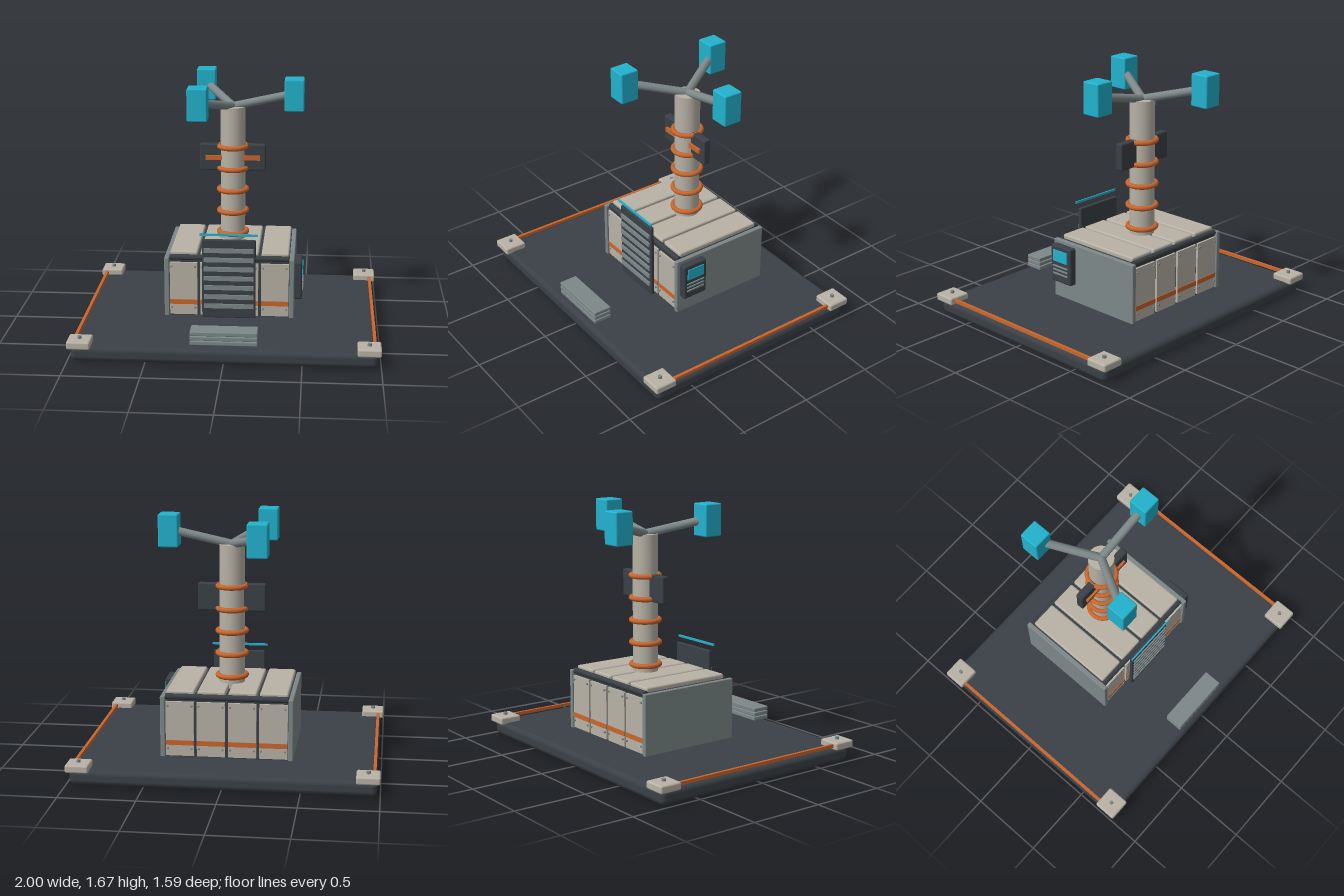
import * as THREE from 'three';
import { RoundedBoxGeometry } from 'three/addons/geometries/RoundedBoxGeometry.js';

const mat = (name, color) => {
  const m = new THREE.MeshStandardMaterial({ color });
  m.name = name;
  return m;
};

export function createModel() {
  const model = new THREE.Group();
  model.name = 'relayStation';
  const dark = mat('charcoal', 0x3a4046);
  const beige = mat('warm grey', 0xb8b2a6);
  const steel = mat('steel grey', 0x7d8888);
  const orange = mat('copper orange', 0xc9652c);
  const cyan = mat('cyan', 0x22b2ce);

  const add = (name, geometry, material, x = 0, y = 0, z = 0) => {
    const mesh = new THREE.Mesh(geometry, material);
    mesh.name = name;
    mesh.position.set(x, y, z);
    model.add(mesh);
    return mesh;
  };
  // Box given by its limits on each axis, with an optional rounded edge
  const box = (name, material, x0, x1, y0, y1, z0, z1, r = 0) => {
    const size = [x1 - x0, y1 - y0, z1 - z0];
    const geometry = r ? new RoundedBoxGeometry(...size, 2, r) : new THREE.BoxGeometry(...size);
    return add(name, geometry, material, (x0 + x1) / 2, (y0 + y1) / 2, (z0 + z1) / 2);
  };
  // Cylinder between two points
  const rod = (name, material, a, b, r, sides = 12) => {
    const from = new THREE.Vector3(...a), to = new THREE.Vector3(...b);
    const dir = to.clone().sub(from);
    const mesh = add(name, new THREE.CylinderGeometry(r, r, dir.length(), sides), material);
    mesh.position.copy(from).add(to).multiplyScalar(0.5);
    mesh.quaternion.setFromUnitVectors(new THREE.Vector3(0, 1, 0), dir.normalize());
    return mesh;
  };

  // Base slab, corner blocks with bolts, side rails
  box('baseSlab', dark, -0.98, 0.98, 0, 0.1, -0.772, 0.772, 0.035);
  for (const sx of [-1, 1]) {
    for (const sz of [-1, 1]) {
      const x = sx * 0.924, z = sz * 0.718;
      box('cornerBlock', beige, x - 0.076, x + 0.076, 0.088, 0.14, z - 0.077, z + 0.077, 0.012);
      rod('cornerBolt', steel, [x, 0.135, z], [x, 0.157, z], 0.013, 8);
    }
    const x = sx * 0.962;
    box('sideRail', orange, x - 0.01, x + 0.01, 0.106, 0.128, -0.66, 0.66);
  }

  // Step: three stacked slats
  for (let i = 0; i < 3; i++) {
    const y = 0.12 + i * 0.031;
    box('stepSlat', steel, -0.215, 0.215, y, y + 0.027, 0.612, 0.738, 0.005);
  }

  // Housing core and side walls
  box('housingCore', dark, -0.4, 0.4, 0.12, 0.53, -0.47, 0.2);
  for (const s of [-1, 1]) {
    const x = s * 0.417;
    box('sideWall', steel, x - 0.016, x + 0.016, 0.12, 0.53, -0.493, 0.227, 0.006);
  }

  // Roof panels, and matching front and back panels with stripes and bolts
  for (const x of [-0.305, -0.102, 0.102, 0.305]) {
    const h = 0.092;
    box('roofPanel', beige, x - h, x + h, 0.525, 0.562, -0.455, 0.178, 0.012);
    for (const [face, s] of [[0.2, 1], [-0.47, -1]]) {
      const z = (d) => face + s * d;
      const plate = (name, m, hw, y0, y1, d0, d1) =>
        box(name, m, x - hw, x + hw, y0, y1, Math.min(z(d0), z(d1)), Math.max(z(d0), z(d1)));
      plate('wallPanel', beige, h, 0.13, 0.495, -0.005, 0.015);
      plate('panelStripe', orange, h, 0.203, 0.235, 0.013, 0.019);
      for (const bx of [-0.078, 0.078]) {
        for (const y of [0.18, 0.467]) {
          rod('panelBolt', steel, [x + bx, y, z(0.01)], [x + bx, y, z(0.025)], 0.007, 6);
        }
      }
    }
  }
  for (const z of [0.188, -0.463]) {
    rod('roofEdgeRail', dark, [-0.4, 0.524, z], [0.4, 0.524, z], 0.02, 10);
  }

  // Louvred front door and the light bar above it
  box('frontDoor', dark, -0.178, 0.178, 0.125, 0.67, 0.229, 0.255, 0.008);
  for (let i = 0; i < 7; i++) {
    const y = 0.21 + i * 0.0645;
    box('doorLouvre', steel, -0.165, 0.165, y - 0.015, y + 0.015, 0.25, 0.265);
  }
  box('lightBar', cyan, -0.192, 0.192, 0.7, 0.715, 0.257, 0.267);

  // Control box on the left wall
  box('controlBox', dark, 0.43, 0.485, 0.25, 0.51, 0.022, 0.205, 0.012);
  box('controlScreen', cyan, 0.483, 0.491, 0.4, 0.48, 0.05, 0.178);
  for (const y of [0.313, 0.34, 0.367]) {
    box('controlLine', steel, 0.483, 0.493, y - 0.005, y + 0.005, 0.046, 0.182);
  }

  // Mast with copper rings
  const mz = -0.17;
  rod('mast', beige, [0, 0.53, mz], [0, 1.48, mz], 0.084, 20);
  for (let i = 0; i < 5; i++) {
    const ring = add('mastRing', new THREE.TorusGeometry(0.094, 0.017, 10, 32), orange, 0, 0.606 + i * 0.15, mz);
    ring.rotation.x = Math.PI / 2;
  }

  // Cross plate through the mast
  box('crossPlate', dark, -0.223, 0.223, 1.04, 1.222, -0.195, -0.142, 0.01);
  box('crossPlateStripe', orange, -0.185, 0.185, 1.115, 1.147, -0.144, -0.127);

  // Three arms carrying sensor pods
  for (let i = 0; i < 3; i++) {
    const a = (i * 2 * Math.PI) / 3;
    const x = 0.412 * Math.cos(a), z = mz + 0.412 * Math.sin(a);
    rod('sensorArm', steel, [0, 1.48, mz], [x, 1.57, z], 0.028, 12);
    box('sensorPod', cyan, x - 0.066, x + 0.066, 1.458, 1.675, z - 0.066, z + 0.066, 0.01);
  }
  return model;
}
